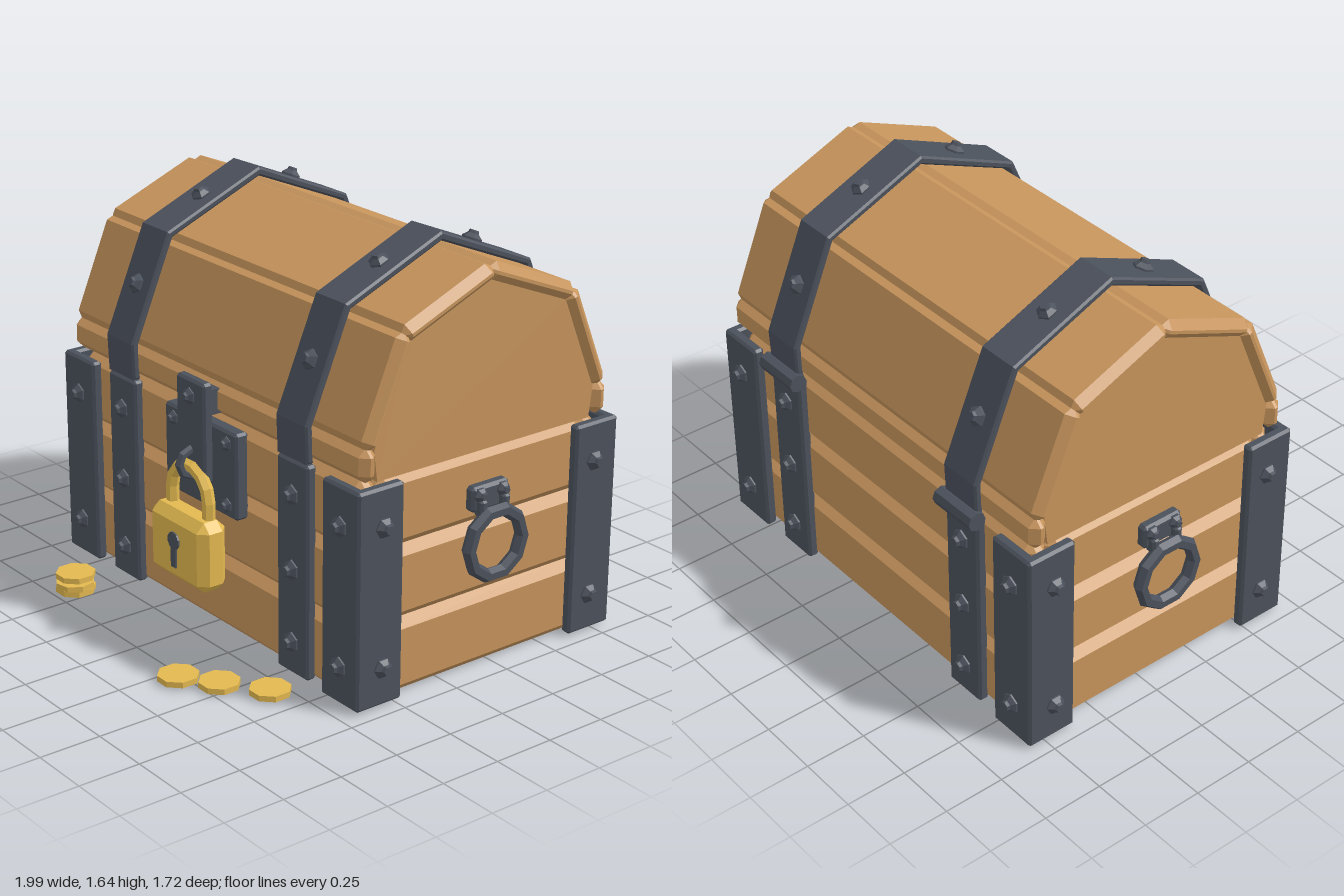
import * as THREE from 'three';
import { ConvexGeometry } from 'three/addons/geometries/ConvexGeometry.js';

const mat = (name, color) => {
  const m = new THREE.MeshStandardMaterial({ color });
  m.name = name;
  m.flatShading = true;
  return m;
};

// Box with every edge cut off by c
function chamferBox(w, h, d, c) {
  const pts = [];
  for (const x of [-w / 2, w / 2]) for (const y of [-h / 2, h / 2]) for (const z of [-d / 2, d / 2]) {
    const ix = x - Math.sign(x) * c, iy = y - Math.sign(y) * c, iz = z - Math.sign(z) * c;
    pts.push(new THREE.Vector3(x, iy, iz), new THREE.Vector3(ix, y, iz), new THREE.Vector3(ix, iy, z));
  }
  return new ConvexGeometry(pts);
}

// Shape in (z, y), extruded across x and centred, with edges cut by bevel
function extrudeAcross(points, width, bevel) {
  const shape = new THREE.Shape(points.map(([z, y]) => new THREE.Vector2(z, y)));
  const depth = width - 2 * bevel;
  const g = new THREE.ExtrudeGeometry(shape, {
    depth, bevelEnabled: bevel > 0, bevelThickness: bevel, bevelSize: bevel, bevelOffset: -bevel, bevelSegments: 1 });
  return g.translate(0, 0, -depth / 2).rotateY(-Math.PI / 2);
}

const mirrorProfile = half => [...half, ...half.slice(0, -1).reverse().map(([z, y]) => [-z, y])];

export function createModel() {
  const wood = mat('wood', 0xc6945c);
  const darkWood = mat('dark wood', 0x875a34);
  const iron = mat('iron', 0x4b515c);
  const gold = mat('gold', 0xe2b84f);

  const model = new THREE.Group();
  model.name = 'treasureChest';
  const group = (name, parent) => {
    const g = new THREE.Group();
    g.name = name;
    parent.add(g);
    return g;
  };
  const add = (parent, name, geo, material, x = 0, y = 0, z = 0) => {
    const m = new THREE.Mesh(geo, material);
    m.name = name;
    m.position.set(x, y, z);
    parent.add(m);
    return m;
  };

  const boltGeo = new THREE.LatheGeometry(
    [[0.04, -0.01], [0.04, 0.008], [0.022, 0.024], [0.018, 0.036], [0, 0.036]].map(p => new THREE.Vector2(...p)), 6);
  const up = new THREE.Vector3(0, 1, 0);
  const bolt = (parent, x, y, z, dir, size = 1) => {
    const b = add(parent, 'bolt', boltGeo, iron, x, y, z);
    b.quaternion.setFromUnitVectors(up, new THREE.Vector3(...dir).normalize());
    b.scale.setScalar(size);
  };

  const chest = group('chest', model);
  chest.position.z = -0.195;

  // Body: dark core with three rows of planks round it
  const body = group('body', chest);
  add(body, 'core', new THREE.BoxGeometry(1.64, 0.86, 0.99), darkWood, 0, 0.446, 0);
  const rows = [[0.002, 0.3], [0.3, 0.592], [0.592, 0.88]];
  for (const [y0, y1] of rows) for (const s of [-1, 1]) {
    const h = y1 - y0, y = (y0 + y1) / 2;
    add(body, 'longPlank', chamferBox(1.78, h, 0.1, 0.036), wood, 0, y, s * 0.535);
    add(body, 'sidePlank', chamferBox(0.1, h, 1.0, 0.036), wood, s * 0.857, y, 0);
  }

  // Corner brackets
  const cornerBrackets = group('cornerBrackets', chest);
  for (const sx of [-1, 1]) for (const sz of [-1, 1]) {
    add(cornerBrackets, 'bracketFace', chamferBox(0.212, 0.862, 0.045, 0.01), iron, sx * 0.844, 0.444, sz * 0.609);
    add(cornerBrackets, 'bracketSide', chamferBox(0.045, 0.862, 0.212, 0.01), iron, sx * 0.928, 0.444, sz * 0.526);
    for (const y of [0.165, 0.72]) {
      bolt(cornerBrackets, sx * 0.845, y, sz * 0.63, [0, 0, sz]);
      bolt(cornerBrackets, sx * 0.949, y, sz * 0.515, [sx, 0, 0]);
    }
  }

  // Lid: solid ends under six chamfered planks
  const lid = group('lid', chest);
  add(lid, 'lidCore', extrudeAcross(mirrorProfile(
    [[-0.515, 0.881], [-0.53, 1.0], [-0.385, 1.385], [0, 1.555]]), 1.815, 0), wood);
  const planks = mirrorProfile([[-0.597, 0.888], [-0.597, 1.02], [-0.425, 1.43], [0, 1.603]]);
  for (let i = 0; i < planks.length - 1; i++) {
    const [z0, y0] = planks[i], [z1, y1] = planks[i + 1];
    const len = Math.hypot(z1 - z0, y1 - y0), a = Math.atan2(y0 - y1, z1 - z0), t = 0.075;
    const p = add(lid, 'lidPlank', chamferBox(1.865, t, len, 0.031), wood, 0,
      (y0 + y1) / 2 - Math.cos(a) * t / 2, (z0 + z1) / 2 - Math.sin(a) * t / 2);
    p.rotation.x = a;
  }

  // Straps over lid and body, with hinges at the back
  const straps = group('straps', chest);
  const outer = mirrorProfile([[-0.62, 0.882], [-0.626, 1.03], [-0.445, 1.455], [0, 1.642]]);
  const inner = mirrorProfile([[-0.588, 0.882], [-0.594, 1.024], [-0.421, 1.432], [0, 1.606]]);
  const strapGeo = extrudeAcross([...outer, ...inner.reverse()], 0.182, 0.008);
  for (const sx of [-1, 1]) {
    const x = sx * 0.55;
    add(straps, 'lidStrap', strapGeo, iron, x);
    for (const sz of [-1, 1]) {
      add(straps, 'bodyStrap', chamferBox(0.184, 0.862, 0.045, 0.01), iron, x, 0.444, sz * 0.597);
      for (const y of [0.145, 0.44, 0.74]) bolt(straps, x, y, sz * 0.618, [0, 0, sz]);
      bolt(straps, x, 1.2425, sz * 0.5355, [0, 0.18, sz * 0.425]);
      bolt(straps, x, 1.5485, sz * 0.2225, [0, 0.445, sz * 0.187]);
    }
    const hinge = add(straps, 'hinge', new THREE.CylinderGeometry(0.038, 0.038, 0.21, 8), iron, x, 0.882, -0.628);
    hinge.rotation.z = Math.PI / 2;
  }

  // Ring handles on the sides
  for (const sx of [-1, 1]) {
    const handle = group('handle', chest);
    add(handle, 'handlePlate', chamferBox(0.06, 0.1, 0.18, 0.012), iron, sx * 0.915, 0.705, 0);
    for (const z of [-0.055, 0.055]) {
      bolt(handle, sx * 0.945, 0.722, z, [sx, 0, 0], 0.75);
      add(handle, 'handleTab', chamferBox(0.05, 0.07, 0.035, 0.01), iron, sx * 0.95, 0.675, z);
    }
    const ring = add(handle, 'handleRing', new THREE.TorusGeometry(0.13, 0.028, 6, 10), iron, sx * 0.973, 0.53, 0);
    ring.rotation.y = Math.PI / 2;
  }

  // Latch: plate, hasp and staple
  const latch = group('latch', model);
  add(latch, 'latchPlate', chamferBox(0.462, 0.35, 0.06, 0.01), iron, 0, 0.697, 0.41);
  for (const x of [-0.172, 0.172]) for (const y of [0.572, 0.822]) bolt(latch, x, y, 0.438, [0, 0, 1], 0.75);
  add(latch, 'hasp', chamferBox(0.18, 0.405, 0.045, 0.01), iron, 0, 0.837, 0.462);
  add(latch, 'haspSpacer', new THREE.BoxGeometry(0.13, 0.1, 0.06), iron, 0, 0.95, 0.415);
  bolt(latch, 0, 0.972, 0.483, [0, 0, 1], 0.85);
  const staple = add(latch, 'staple', new THREE.TorusGeometry(0.052, 0.018, 6, 8), iron, 0, 0.703, 0.485);
  staple.rotation.y = Math.PI / 2;

  // Padlock with shackle and keyhole
  const padlock = group('padlock', model);
  add(padlock, 'lockBody', chamferBox(0.362, 0.288, 0.132, 0.036), gold, 0, 0.367, 0.5);
  add(padlock, 'shackleBow', new THREE.TorusGeometry(0.118, 0.026, 6, 7, Math.PI), gold, 0, 0.573, 0.487);
  for (const s of [-1, 1]) {
    add(padlock, 'shackleLeg', new THREE.CylinderGeometry(0.026, 0.026, 0.09, 6), gold, s * 0.118, 0.53, 0.487)
      .rotation.y = Math.PI / 6;
  }
  const hole = add(padlock, 'keyholeTop', new THREE.CylinderGeometry(0.036, 0.036, 0.009, 10), iron, 0, 0.4, 0.569);
  hole.rotation.x = Math.PI / 2;
  add(padlock, 'keyholeSlot', new THREE.BoxGeometry(0.032, 0.1, 0.009), iron, 0, 0.34, 0.569);

  // Loose coins and a small stack
  const coins = group('coins', model);
  const coinGeo = new THREE.CylinderGeometry(0.081, 0.081, 0.023, 8);
  const spots = [[-0.565, 0.02, 0.66, 0.39], [-0.565, 0.043, 0.663, 0.6], [-0.588, 0.066, 0.645, 0.39],
    [0.318, 0.02, 0.78, 0.39], [0.455, 0.02, 0.69, 0.39], [0.615, 0.02, 0.575, 0.39]];
  for (const [x, y, z, turn] of spots) add(coins, 'coin', coinGeo, gold, x, y, z).rotation.y = turn;

  return model;
}
